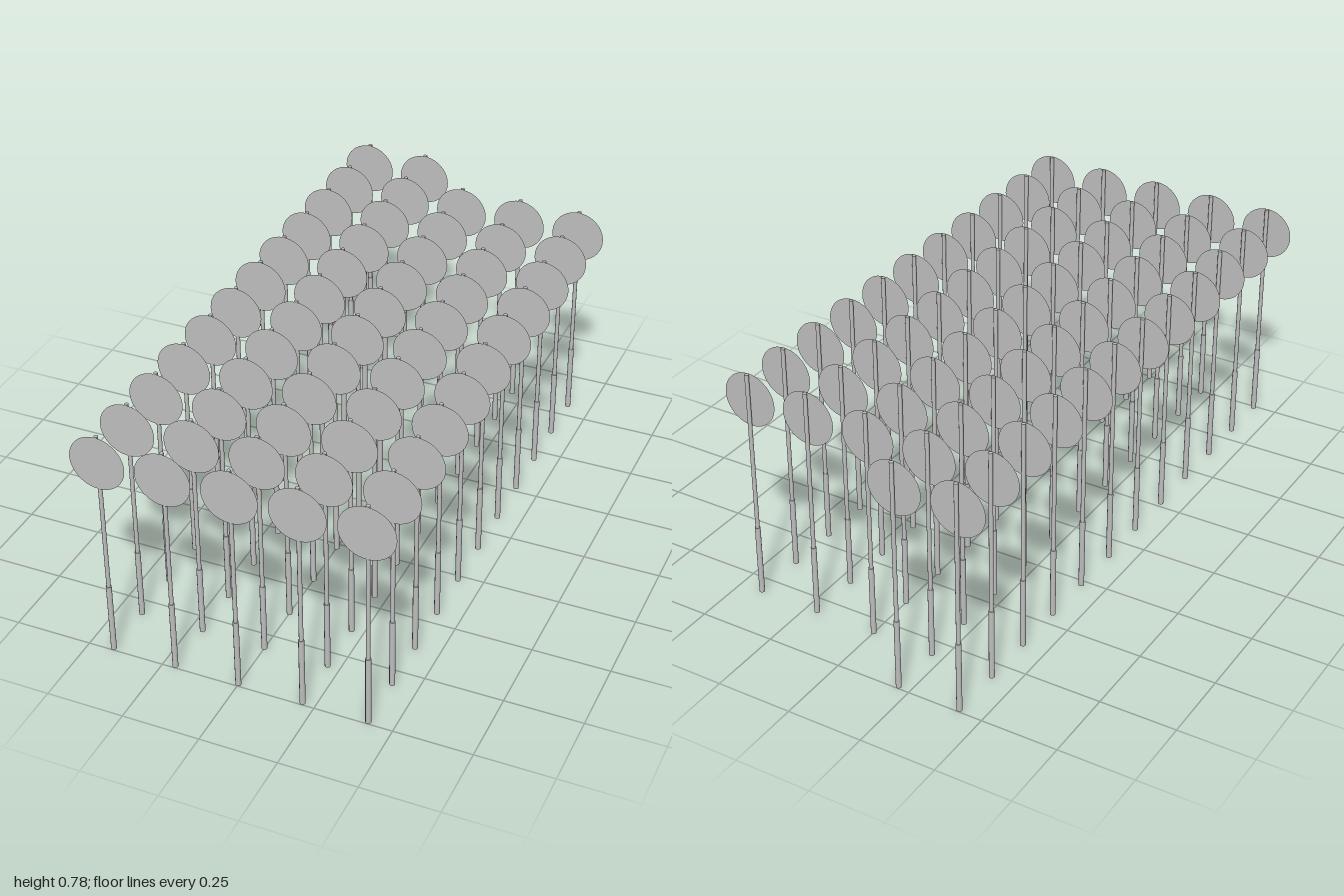
import * as THREE from 'three';

const COLUMNS = 5, ROWS = 12, LAST_ROW_COUNT = 2;
const STEP_X = 0.21, STEP_Z = 0.1802;
const BASE_R = 0.009, POST_R = 0.0068;

export function createModel() {
  const model = new THREE.Group();
  model.name = 'signField';

  const grey = new THREE.MeshStandardMaterial({ color: 0xc0c0c0, side: THREE.DoubleSide });
  grey.name = 'plain grey';

  // Shared geometries: thick lower sleeve, thin upper post, round plate
  const sleeveGeo = new THREE.CylinderGeometry(BASE_R, BASE_R, 0.24, 10).translate(0, 0.12, 0);
  const postGeo = new THREE.CylinderGeometry(POST_R, POST_R, 0.541, 10).translate(0, 0.5105, 0);
  const plateGeo = new THREE.CircleGeometry(0.0895, 40).translate(0, 0.6915, POST_R + 0.001);

  const add = (group, name, geometry) => {
    const mesh = new THREE.Mesh(geometry, grey);
    mesh.name = name;
    group.add(mesh);
  };

  // Rows run from front to back; the rearmost row is only partly filled
  for (let row = 0; row < ROWS; row++) {
    const count = row === ROWS - 1 ? LAST_ROW_COUNT : COLUMNS;
    for (let col = 0; col < count; col++) {
      const sign = new THREE.Group();
      sign.name = 'roundSign';
      add(sign, 'lowerSleeve', sleeveGeo);
      add(sign, 'upperPost', postGeo);
      add(sign, 'roundPlate', plateGeo);
      sign.position.set((col - (COLUMNS - 1) / 2) * STEP_X, 0, ((ROWS - 1) / 2 - row) * STEP_Z);
      model.add(sign);
    }
  }
  return model;
}
